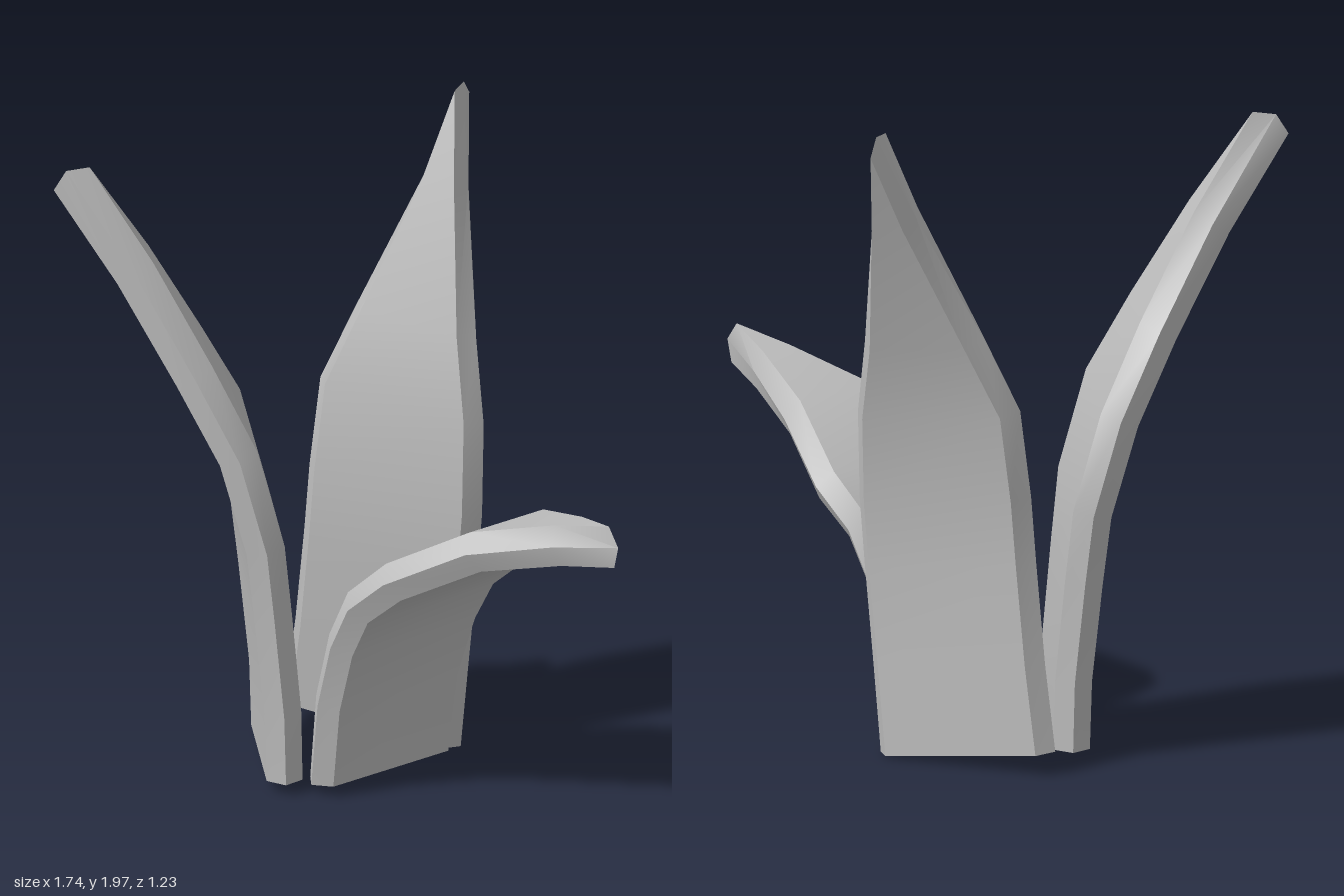
import * as THREE from 'three';
import { toCreasedNormals } from 'three/addons/utils/BufferGeometryUtils.js';

// Blade with a six-sided section: rows are [x, y, z, halfWidth] along the spine,
// and the last row closes to a thin upright edge.
function leafGeometry(widthDir, rows) {
  const w = new THREE.Vector3(...widthDir).normalize();
  const spine = rows.map(([x, y, z]) => new THREE.Vector3(x, y, z));
  const last = rows.length - 1;
  const points = [];
  rows.forEach((row, i) => {
    const hw = row[3];
    const tangent = spine[Math.min(i + 1, last)].clone().sub(spine[Math.max(i - 1, 0)]).normalize();
    if (i === 0) tangent.set(0, 1, 0); // flat-cut foot
    const n = tangent.clone().cross(w).normalize();
    const half = 0.053 + 0.01 * (i / last);
    const inner = hw - Math.min(0.04, hw * 0.3);
    const add = (a, b, c) => points.push(spine[i].clone()
      .addScaledVector(w, a).addScaledVector(n, b).addScaledVector(tangent, c));
    const nose = i === last ? 0.03 : 0;
    add(hw, 0, nose);
    add(inner, half, 0);
    add(-inner, half, 0);
    add(-hw, 0, nose);
    add(-inner, -half, 0);
    add(inner, -half, 0);
  });

  const index = [];
  const tri = (a, b, c) => {
    const ab = points[b].clone().sub(points[a]);
    const ac = points[c].clone().sub(points[a]);
    if (ab.cross(ac).length() > 1e-7) index.push(a, b, c);
  };
  for (let i = 0; i < last; i++) {
    for (let j = 0; j < 6; j++) {
      const a = i * 6 + j, b = i * 6 + (j + 1) % 6;
      tri(a, b, b + 6);
      tri(a, b + 6, a + 6);
    }
  }
  for (let j = 1; j < 5; j++) tri(0, j + 1, j); // foot cap

  const geometry = new THREE.BufferGeometry();
  geometry.setAttribute('position', new THREE.Float32BufferAttribute(points.flatMap(p => p.toArray()), 3));
  geometry.setIndex(index);
  return toCreasedNormals(geometry, 0.5);
}

export function createModel() {
  const group = new THREE.Group();
  group.name = 'leafSprout';
  const grey = new THREE.MeshStandardMaterial({ color: 0xbcbcbc });
  grey.name = 'leaf grey';

  const leaves = {
    // tall leaf leaning out to the side
    rightLeaf: [[0.24, 0, 0.97], [
      [-0.245, 0.04, -0.03, 0.26], [-0.25, 0.25, -0.03, 0.26], [-0.28, 0.55, -0.035, 0.27],
      [-0.305, 0.77, -0.04, 0.285], [-0.385, 1.06, -0.035, 0.285], [-0.5, 1.3, 0.015, 0.2],
      [-0.66, 1.6, 0.06, 0.1], [-0.835, 1.88, 0.105, 0]]],
    // tallest leaf, tilted slightly sideways
    backLeaf: [[0.96, -0.12, 0.28], [
      [0, 0.04, -0.315, 0.285], [0.03, 0.3, -0.29, 0.28], [0.06, 0.6, -0.265, 0.28],
      [0.075, 0.8, -0.265, 0.28], [0.09, 1.07, -0.29, 0.265], [0.125, 1.3, -0.34, 0.195],
      [0.195, 1.7, -0.465, 0.072], [0.23, 1.95, -0.56, 0]]],
    // short leaf bent outwards
    frontLeaf: [[0.67, 0, -0.74], [
      [0.065, 0.04, 0.015, 0.26], [0.09, 0.3, 0.035, 0.265], [0.14, 0.5, 0.065, 0.275],
      [0.2, 0.64, 0.105, 0.28], [0.31, 0.75, 0.165, 0.275], [0.5, 0.89, 0.31, 0.18],
      [0.7, 0.965, 0.475, 0.075], [0.835, 1.0, 0.59, 0]]],
  };
  for (const [name, [widthDir, rows]] of Object.entries(leaves)) {
    const mesh = new THREE.Mesh(leafGeometry(widthDir, rows), grey);
    mesh.name = name;
    group.add(mesh);
  }
  return group;
}
